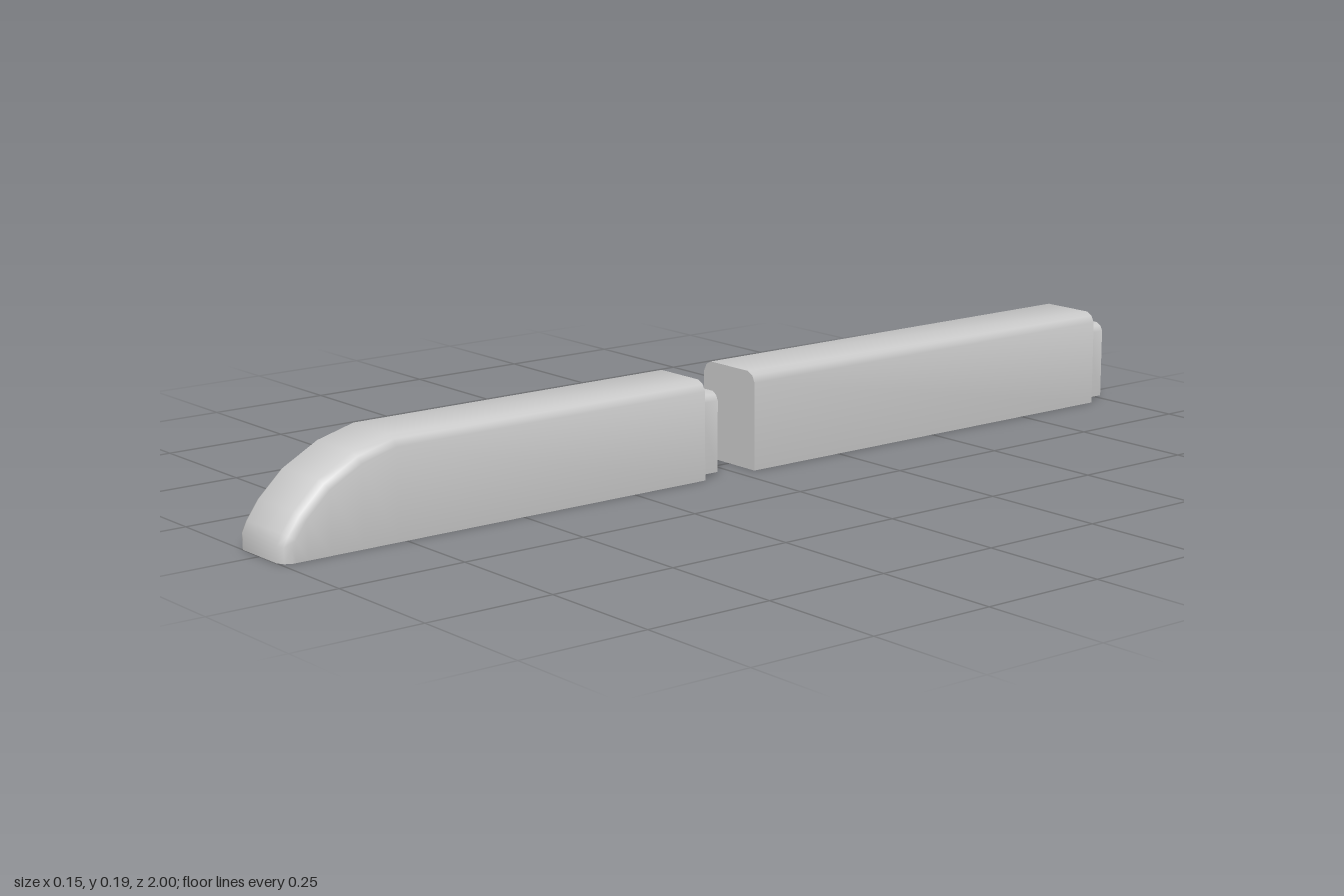
import * as THREE from 'three';
import { toCreasedNormals } from 'three/addons/utils/BufferGeometryUtils.js';

const material = new THREE.MeshStandardMaterial({ color: 0xcccccc, side: THREE.DoubleSide });

// Rounded roof edge: [x, inset from the roof profile], from left side to right side
const EDGE = [[0.075, 0.02], [0.068, 0.007], [0.055, 0], [-0.055, 0], [-0.068, 0.007], [-0.075, 0.02]];

// End outline of a car, and the smaller outline of the gangway
const bodyOutline = [[-0.075, 0], [0.075, 0], ...EDGE.map(([x, d]) => [x, 0.19 - d])];
const gangwayOutline = bodyOutline.map(([x, y]) => [x * 0.76, 0.006 + y * 0.81]);
const toVectors = (points) => points.map(([x, y]) => new THREE.Vector2(x, y));

function add(group, name, geometry) {
  const mesh = new THREE.Mesh(geometry, material);
  mesh.name = name;
  group.add(mesh);
  return mesh;
}

// Skin through rows of points
function loft(rows) {
  const position = [];
  const triangle = (...corners) => {
    const [a, b, c] = corners;
    const area = b.clone().sub(a).cross(c.clone().sub(a)).length();
    if (area > 1e-8) corners.forEach((p) => position.push(p.x, p.y, p.z));
  };
  for (let i = 0; i < rows.length - 1; i++) {
    for (let j = 0; j < rows[i].length - 1; j++) {
      const a = rows[i][j], b = rows[i + 1][j], c = rows[i + 1][j + 1], d = rows[i][j + 1];
      triangle(a, d, c);
      triangle(a, c, b);
    }
  }
  const geometry = new THREE.BufferGeometry();
  geometry.setAttribute('position', new THREE.Float32BufferAttribute(position, 3));
  return toCreasedNormals(geometry, 0.8);
}

// Outward mitre of the roof profile [z, y] at point i
function profileNormal(profile, i) {
  const normal = (k) => {
    const [p, q] = [profile[k], profile[k + 1]];
    return new THREE.Vector2(p[1] - q[1], q[0] - p[0]).normalize();
  };
  const before = normal(Math.max(i - 1, 0));
  const after = normal(Math.min(i, profile.length - 2));
  const sum = before.clone().add(after).normalize();
  return sum.divideScalar(sum.dot(before));
}

function createCar(name, profile, flatFront) {
  const car = new THREE.Group();
  car.name = name;
  const rear = profile[0][0];

  // Roof, sides and nose
  const rows = profile.map(([z, y], i) => {
    const n = profileNormal(profile, i);
    const row = EDGE.map(([x, d]) => new THREE.Vector3(x, Math.max(0, y - n.y * d), z - n.x * d));
    const foot = (p) => new THREE.Vector3(p.x, 0, p.z);
    return [foot(row[0]), ...row, foot(row[row.length - 1])];
  });
  add(car, 'bodyShell', loft(rows));

  // Floor follows the rounded front corners
  const front = rows[rows.length - 1].slice(1, -1).map((p) => [p.x, p.z]);
  const floor = new THREE.Shape(toVectors([[-0.075, rear], [0.075, rear], ...front]));
  add(car, 'floor', new THREE.ShapeGeometry(floor).rotateX(Math.PI / 2));

  // Rear wall with the gangway opening
  const wall = new THREE.Shape(toVectors(bodyOutline));
  wall.holes.push(new THREE.Path(toVectors(gangwayOutline)));
  add(car, 'rearWall', new THREE.ShapeGeometry(wall).rotateY(Math.PI)).position.z = rear;

  // Flat closed front wall
  if (flatFront) {
    const cap = new THREE.ShapeGeometry(new THREE.Shape(toVectors(bodyOutline)));
    add(car, 'frontWall', cap).position.z = profile[profile.length - 1][0];
  }

  // Open gangway sleeve
  const ring = [...gangwayOutline, gangwayOutline[0]];
  const sleeve = [rear - 0.045, rear].map((z) => ring.map(([x, y]) => new THREE.Vector3(x, y, z)));
  add(car, 'gangway', loft(sleeve));
  return car;
}

export function createModel() {
  const model = new THREE.Group();
  model.name = 'train';
  const noseProfile = [
    [0.083, 0.19], [0.77, 0.19], [0.845, 0.17], [0.915, 0.132],
    [0.965, 0.085], [0.99, 0.05], [1, 0.03], [1, 0],
  ];
  model.add(createCar('frontCar', noseProfile, false));
  model.add(createCar('rearCar', [[-0.955, 0.19], [-0.037, 0.19]], true));
  return model;
}
